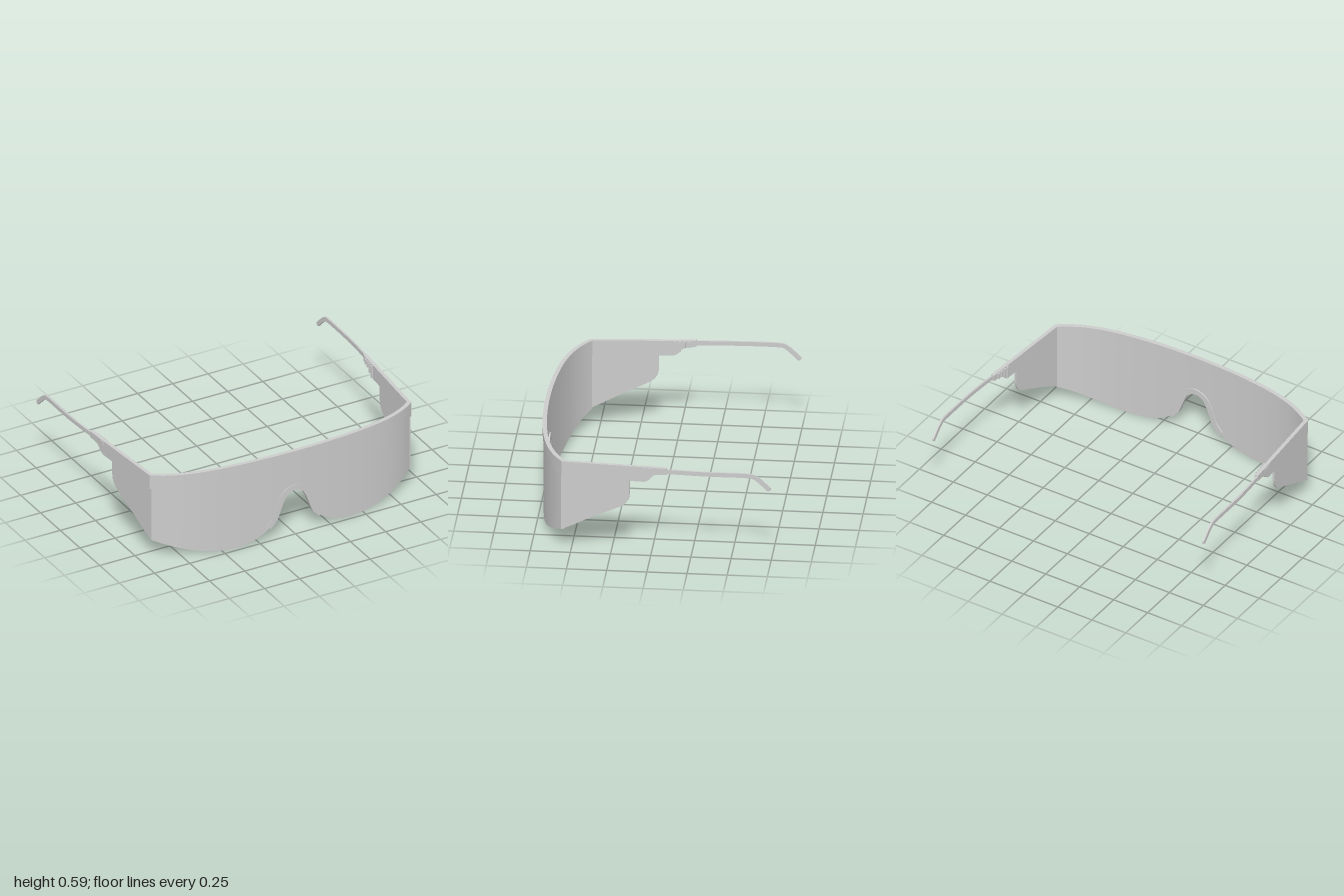
import * as THREE from 'three';

const material = new THREE.MeshStandardMaterial({ color: 0xcccccc, side: THREE.DoubleSide });
const V = (x, y, z = 0) => new THREE.Vector3(x, y, z);

// Solid bar through cross-sections of equal corner count: smooth lengthwise, creased at corners.
function loft(name, rings) {
  const pos = [], index = [], n = rings[0].length;
  for (let j = 0; j < n; j++) {
    const base = pos.length / 3;
    for (const r of rings) pos.push(...r[j].toArray(), ...r[(j + 1) % n].toArray());
    for (let i = 0; i < rings.length - 1; i++) {
      const a = base + i * 2;
      index.push(a, a + 2, a + 3, a, a + 3, a + 1);
    }
  }
  [rings[0], rings[rings.length - 1]].forEach((r, end) => {
    const base = pos.length / 3;
    r.forEach((p) => pos.push(...p.toArray()));
    for (let k = 1; k < n - 1; k++) {
      index.push(base, base + (end ? k + 1 : k), base + (end ? k : k + 1));
    }
  });
  const g = new THREE.BufferGeometry();
  g.setAttribute('position', new THREE.Float32BufferAttribute(pos, 3));
  g.setIndex(index);
  g.computeVertexNormals();
  const mesh = new THREE.Mesh(g, material);
  mesh.name = name;
  return mesh;
}

// Upright wall along columns {x, z, lo, hi}, set in from the outer line by inset, t thick.
function wall(name, cols, inset, t) {
  return loft(name, cols.map((c, i) => {
    const a = cols[Math.max(i - 1, 0)], b = cols[Math.min(i + 1, cols.length - 1)];
    const len = Math.hypot(b.x - a.x, b.z - a.z);
    const nx = -(b.z - a.z) / len, nz = (b.x - a.x) / len;
    const at = (d, y) => V(c.x - nx * d, y, c.z - nz * d);
    return [at(inset, c.lo), at(inset, c.hi), at(inset + t, c.hi), at(inset + t, c.lo)];
  }));
}

// Smooth curve through [x, y] pairs
const spline = (pts, n) => new THREE.CatmullRomCurve3(pts.map(([x, y]) => V(x, y)), false, 'centripetal').getPoints(n);
const mirrored = (pts) => [...pts.slice(1).reverse().map(([x, y]) => [-x, y]), ...pts];

// Plan curve of the front and straight line of the sides
const HALF = 0.93;
const frontZ = (x) => 0.75 - 0.12 * x * x - 0.133 * x ** 6;
const sideX = (z) => HALF + (0.56 - z) * 0.08;

export function createModel() {
  const model = new THREE.Group();
  model.name = 'safetyGlasses';

  // Brow bar, deepening towards the corners
  const brow = [];
  for (let i = 0; i <= 48; i++) {
    const x = -HALF + (2 * HALF * i) / 48, u = Math.abs(x) / HALF;
    brow.push({ x, z: frontZ(x), lo: 0.54 - 0.055 * u ** 5, hi: 0.592 - 0.008 * u * u });
  }
  model.add(wall('browBar', brow, 0, 0.027));

  // Wraparound lens with nose notch
  const lensEdge = mirrored([[0, 0.32], [0.05, 0.302], [0.08, 0.26], [0.105, 0.2], [0.13, 0.14], [0.16, 0.1],
    [0.2, 0.068], [0.26, 0.034], [0.35, 0.008], [0.45, 0], [0.56, 0.008], [0.7, 0.04], [0.82, 0.08], [0.925, 0.12]]);
  const lens = spline(lensEdge, 120).map((p) => ({ x: p.x, z: frontZ(p.x), lo: Math.max(p.y, 0), hi: 0.56 }));
  model.add(wall('lens', lens, 0.007, 0.016));

  // Nose bridge clipped around the notch edge
  const nose = spline(mirrored([[0, 0.314], [0.05, 0.295], [0.076, 0.255], [0.1, 0.195], [0.125, 0.132], [0.171, 0.077]]), 48);
  model.add(loft('noseBridge', nose.map((p, i) => {
    const t = nose[Math.min(i + 1, 48)].clone().sub(nose[Math.max(i - 1, 0)]).normalize();
    const q = V(p.x - t.y * 0.037, p.y + t.x * 0.037);
    const f = (v, d) => V(v.x, v.y, frontZ(v.x) - d);
    return [f(p, 0.003), f(q, 0.003), f(q, 0.032), f(p, 0.032)];
  })));

  for (const [name, sign] of [['left', 1], ['right', -1]]) {
    const side = new THREE.Group();
    side.name = name + 'Side';
    side.scale.x = sign;

    // Temple arm, stepping up to a narrow rear end
    const temple = [[0.562, 0.485], [0.3, 0.485], [0.05, 0.485], [0.03, 0.49], [0.012, 0.504], [-0.005, 0.525],
      [-0.02, 0.535], [-0.05, 0.54], [-0.097, 0.544]];
    side.add(wall('templeArm', temple.map(([z, lo]) => ({ x: sideX(z), z, lo, hi: 0.584 })), 0, 0.024));

    // Side shield below the arm
    const shield = [[0.565, 0.12], [0.48, 0.162], [0.4, 0.205], [0.3, 0.253], [0.2, 0.3], [0.175, 0.315],
      [0.155, 0.335], [0.142, 0.358], [0.136, 0.39]];
    side.add(wall('sideShield', shield.map(([z, lo]) => ({ x: sideX(z), z, lo, hi: 0.52 })), 0.007, 0.014));

    // Grip ridges on the inner face of the arm
    [[0.035, 0.495], [0.005, 0.515], [-0.025, 0.538], [-0.055, 0.543]].forEach(([z, lo]) => {
      const ridge = new THREE.Mesh(new THREE.BoxGeometry(0.016, 0.58 - lo, 0.014), material);
      ridge.position.set(sideX(z) - 0.027, (0.58 + lo) / 2, z);
      ridge.name = 'gripRidge';
      side.add(ridge);
    });

    // Thin ear piece with a bent, rounded tip
    const rod = spline([[0.05, 0.564], [-0.1, 0.564], [-0.35, 0.564], [-0.6, 0.564], [-0.635, 0.56],
      [-0.665, 0.543], [-0.7, 0.511], [-0.742, 0.47]], 60);
    side.add(loft('earPiece', rod.map((p, i) => {
      const t = rod[Math.min(i + 1, 60)].clone().sub(rod[Math.max(i - 1, 0)]).normalize();
      const h = i === 60 ? 0.007 : 0.014;
      const z = p.x, s = THREE.MathUtils.clamp((-z - 0.05) / 0.4, 0, 1);
      const x = 0.97 + 0.024 * (1 - (1 - s) ** 2);
      const at = (dx, d) => V(x + dx, p.y - t.x * d, z + t.y * d);
      return [at(0.006, -h), at(0.006, h), at(-0.006, h), at(-0.006, -h)];
    })));
    model.add(side);
  }
  return model;
}
